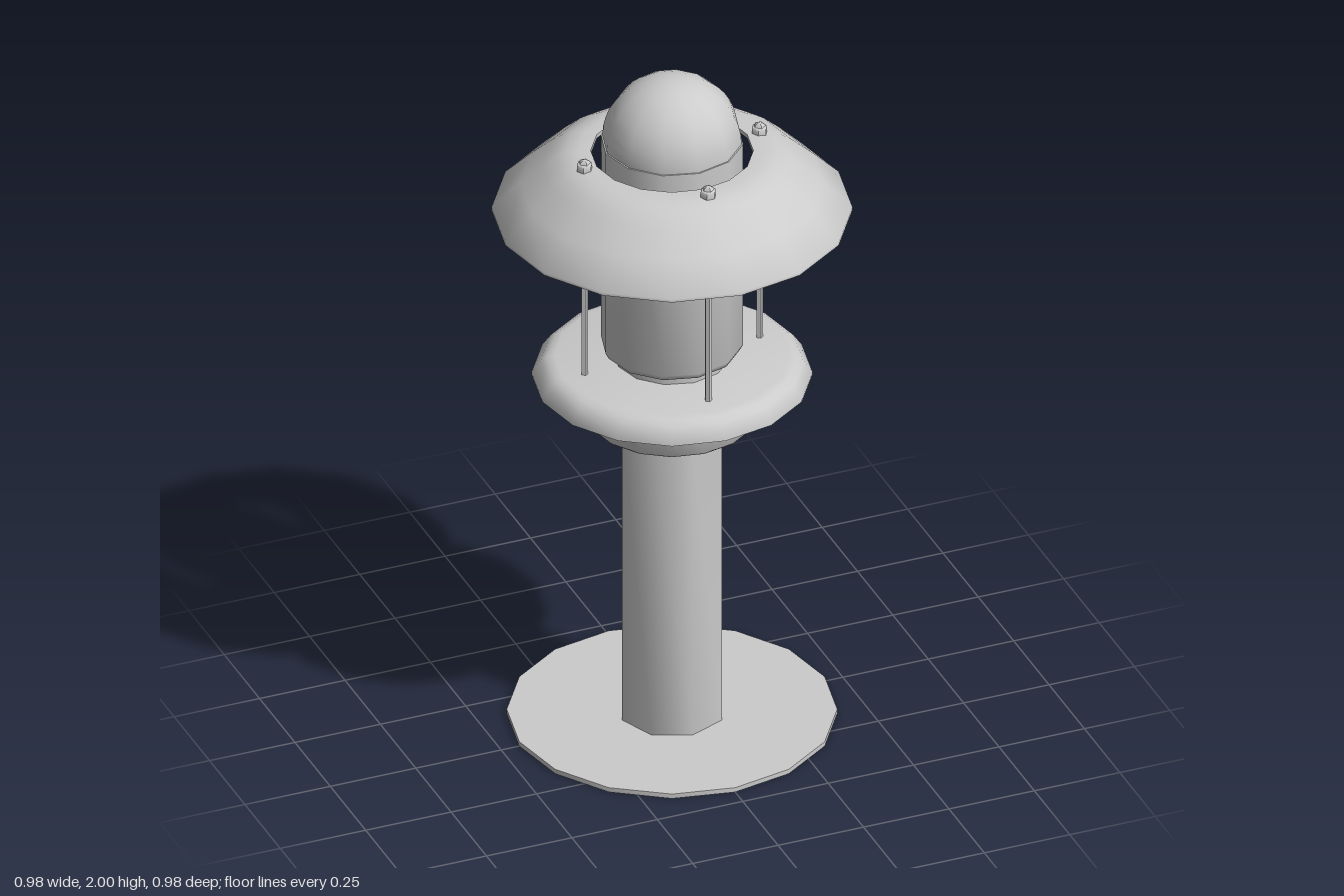
import * as THREE from 'three';
import { toCreasedNormals } from 'three/addons/utils/BufferGeometryUtils.js';

const material = new THREE.MeshStandardMaterial({ color: 0xcccccc });

export function createModel() {
  const lamp = new THREE.Group();
  lamp.name = 'bollardLamp';

  // Turned part from [radius, height] pairs, listed upwards along the outside
  function turned(name, sides, profile, parent = lamp) {
    const points = profile.map(([r, y]) => new THREE.Vector2(r, y));
    const geometry = toCreasedNormals(new THREE.LatheGeometry(points, sides), 0.87);
    const mesh = new THREE.Mesh(geometry, material);
    mesh.name = name;
    parent.add(mesh);
    return mesh;
  }

  // Foot, post and collar
  turned('basePlate', 16, [[0, 0], [0.447, 0], [0.447, 0.014], [0, 0.014]]);
  turned('post', 8, [[0.147, 0.01], [0.147, 0.96]]);
  turned('collar', 16, [[0, 0.945], [0.228, 0.945], [0.235, 0.952], [0.235, 1.075], [0, 1.075]]);

  // Tray with a bevelled rim
  turned('lowerTray', 16, [
    [0, 1.07], [0.38, 1.07], [0.38, 1.077], [0.355, 1.113], [0.338, 1.125], [0.318, 1.13], [0, 1.13],
  ]);

  // Lamp body on a narrow neck
  turned('neck', 12, [[0.157, 1.125], [0.157, 1.165]]);
  turned('lampCylinder', 12, [
    [0, 1.155], [0.17, 1.155], [0.185, 1.161], [0.194, 1.178], [0.194, 1.81], [0.188, 1.81],
  ]);

  // Domed cap
  const dome = [];
  for (let i = 0; i <= 10; i++) {
    const a = (i / 10) * Math.PI / 2;
    dome.push([0.19 * Math.cos(a), 1.81 + 0.19 * Math.sin(a)]);
  }
  turned('domeCap', 12, dome);

  // Thin open shade: outer skin, round the hole, back down the inside
  turned('shade', 16, [
    [0.478, 1.588], [0.488, 1.588], [0.488, 1.597], [0.41, 1.675], [0.35, 1.73], [0.32, 1.752],
    [0.29, 1.768], [0.255, 1.775], [0.22, 1.775], [0.22, 1.763], [0.255, 1.763], [0.287, 1.756],
    [0.315, 1.741], [0.345, 1.718], [0.404, 1.664], [0.478, 1.588],
  ]);

  // Four tie rods with hexagonal nuts
  for (let i = 0; i < 4; i++) {
    const support = new THREE.Group();
    support.name = 'support' + (i + 1);
    support.position.set(0.256 * Math.sin(i * Math.PI / 2), 0, 0.256 * Math.cos(i * Math.PI / 2));
    turned('rod', 5, [[0.01, 1.12], [0.01, 1.78]], support);
    turned('nut', 6, [[0.022, 1.772], [0.022, 1.79], [0.018, 1.794], [0, 1.794]], support).rotation.y = Math.PI / 6;
    turned('rodTip', 5, [[0.017, 1.792], [0.014, 1.8], [0, 1.806]], support);
    lamp.add(support);
  }
  return lamp;
}
